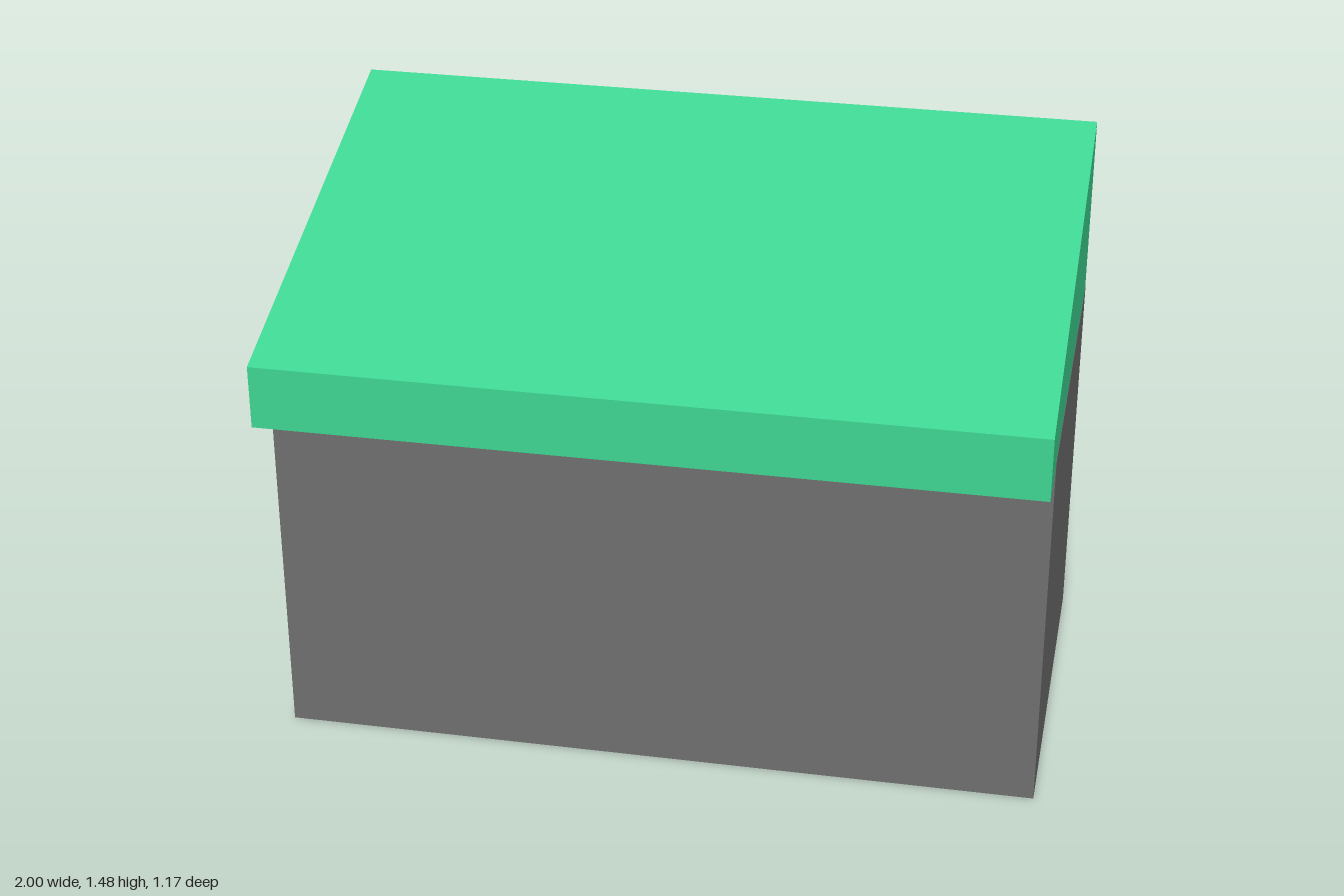
import * as THREE from 'three';

export function createModel() {
  const group = new THREE.Group();
  group.name = 'shed';

  const wallGrey = new THREE.MeshStandardMaterial({ color: 0x6e6e6e });
  wallGrey.name = 'wall grey';
  const roofGreen = new THREE.MeshStandardMaterial({ color: 0x3ed592 });
  roofGreen.name = 'roof green';

  // Plain box body, set towards the back under the roof
  const back = -0.575, front = 0.427, height = 1;
  const body = new THREE.Mesh(new THREE.BoxGeometry(2, height, front - back), wallGrey);
  body.name = 'body';
  body.position.set(0, height / 2, (front + back) / 2);
  group.add(body);

  // Sloped roof: side profile (z, y) extruded across x, a hair narrower than the body
  const width = 1.998;
  const profile = new THREE.Shape([
    new THREE.Vector2(-0.583, 0.98),
    new THREE.Vector2(0.583, 0.98),
    new THREE.Vector2(0.583, 1.15),
    new THREE.Vector2(-0.583, 1.483),
  ]);
  const roofGeometry = new THREE.ExtrudeGeometry(profile, { depth: width, bevelEnabled: false });
  roofGeometry.translate(0, 0, -width / 2);
  roofGeometry.rotateY(-Math.PI / 2);
  const roof = new THREE.Mesh(roofGeometry, roofGreen);
  roof.name = 'roof';
  group.add(roof);

  return group;
}
